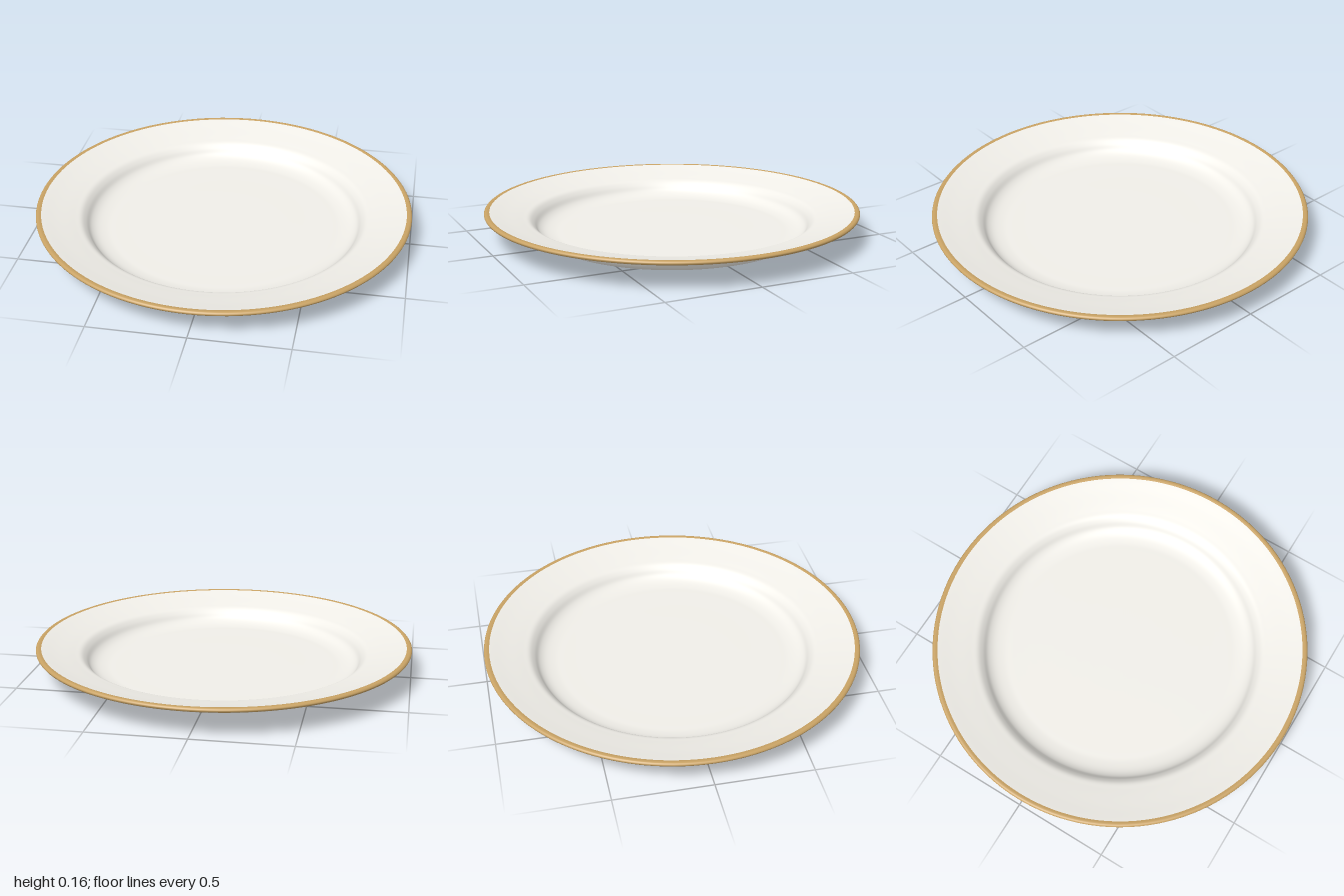
import * as THREE from 'three';

// Profile from the centre of the base, round the rim, to the centre of the well
const PROFILE = [
  [0, 0], [0.3, 0], [0.58, 0], [0.635, 0.001], [0.69, 0.012], [0.725, 0.031], [0.748, 0.06], [0.772, 0.081], [0.81, 0.092],
  [0.9, 0.11], [0.98, 0.129],
  [0.995, 0.135], [1, 0.145], [0.994, 0.153], [0.985, 0.155], [0.972, 0.153],
  [0.9, 0.136], [0.8, 0.114], [0.763, 0.104], [0.738, 0.083], [0.715, 0.053], [0.685, 0.035],
  [0.635, 0.025], [0.58, 0.024], [0.3, 0.024], [0, 0.024],
];
const RIM_START = 11, RIM_END = 15, STEPS = 5;

export function createModel() {
  const plate = new THREE.Group();
  plate.name = 'plate';

  const curve = new THREE.CatmullRomCurve3(PROFILE.map(([r, y]) => new THREE.Vector3(r, y, 0)));
  const last = PROFILE.length - 1;

  // Revolves the stretch of the profile between two of its points
  function addRing(name, from, to, material) {
    const points = [];
    for (let i = from * STEPS; i <= to * STEPS; i++) {
      const p = curve.getPoint(i / (last * STEPS));
      points.push(new THREE.Vector2(Math.max(p.x, 0), Math.max(p.y, 0)));
    }
    const mesh = new THREE.Mesh(new THREE.LatheGeometry(points, 128), material);
    mesh.name = name;
    plate.add(mesh);
  }

  const glaze = new THREE.MeshStandardMaterial({ color: 0xf0eee8 });
  const gilt = new THREE.MeshStandardMaterial({ color: 0xc8a264 });

  addRing('underside', 0, RIM_START, glaze);
  addRing('gildedRim', RIM_START, RIM_END, gilt);
  addRing('wellAndBorder', RIM_END, last, glaze);
  return plate;
}
